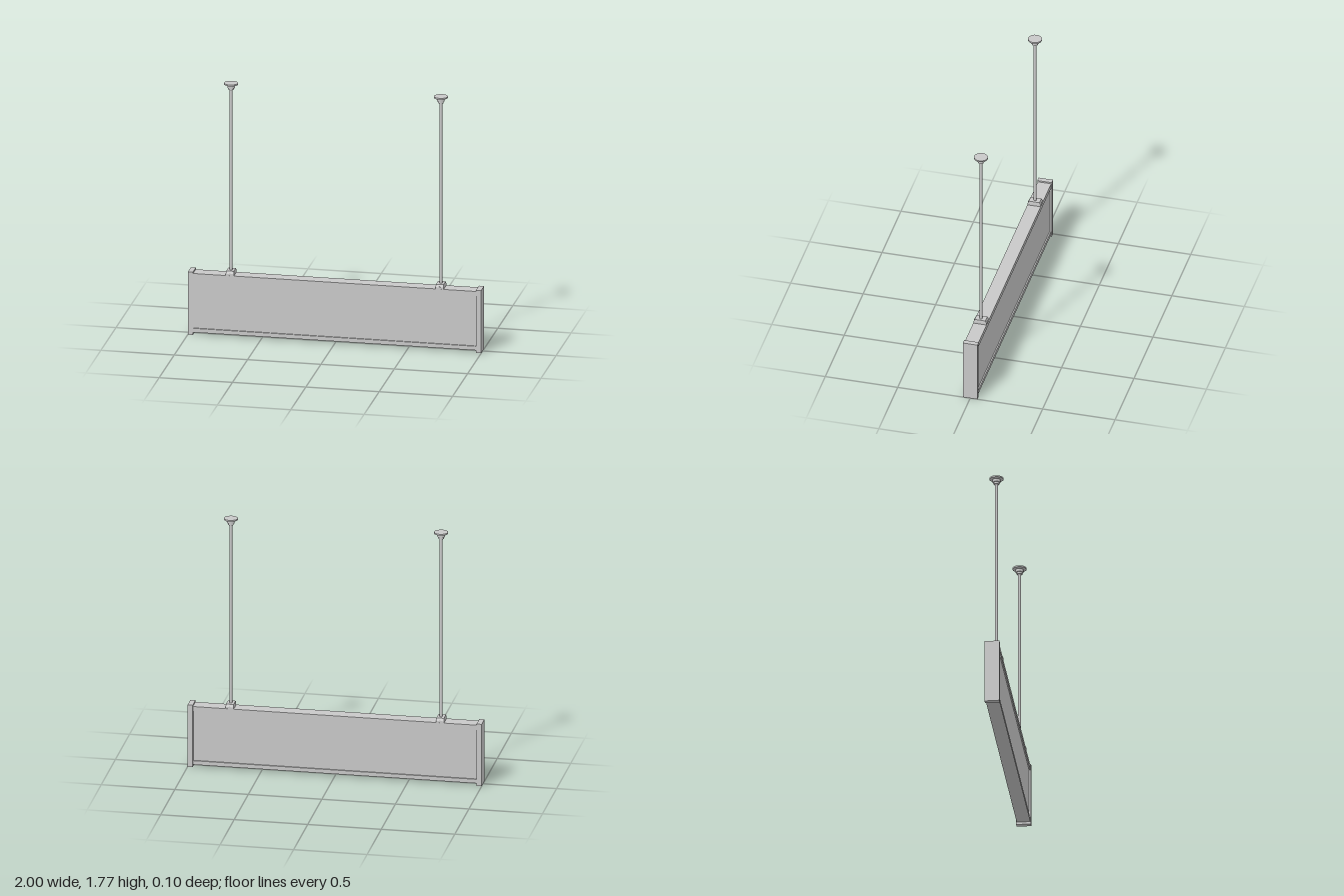
import * as THREE from 'three';

export function createModel() {
  const model = new THREE.Group();
  model.name = 'hangingSign';
  const grey = new THREE.MeshStandardMaterial({ color: 0xc8c8c8 });
  grey.name = 'light grey';
  const flatten = (g) => {
    const flat = g.index ? g.toNonIndexed() : g;
    flat.computeVertexNormals();
    return flat;
  };
  const add = (parent, name, geometry, x, y, z = 0) => {
    const mesh = new THREE.Mesh(geometry, grey);
    mesh.name = name;
    mesh.position.set(x, y, z);
    parent.add(mesh);
    return mesh;
  };
  const rect = (path, x, y0, y1) =>
    path.moveTo(-x, y0).lineTo(x, y0).lineTo(x, y1).lineTo(-x, y1).closePath();

  // Housing frame, open front and back
  const outline = rect(new THREE.Shape(), 0.975, 0.017, 0.43);
  outline.holes.push(rect(new THREE.Path(), 0.963, 0.045, 0.397));
  const frame = new THREE.ExtrudeGeometry(outline, { depth: 0.092, bevelEnabled: false });
  add(model, 'housingFrame', frame, 0, 0, -0.046);

  // Display panel, slightly recessed on both sides
  add(model, 'displayPanel', new THREE.BoxGeometry(1.93, 0.356, 0.074), 0, 0.221);

  // Mounting block: straight lower half, chamfered top
  const blockGeometry = new THREE.BoxGeometry(0.056, 0.036, 0.09, 1, 2, 1);
  const p = blockGeometry.attributes.position;
  for (let i = 0; i < p.count; i++) {
    if (p.getY(i) > 0.01) {
      p.setX(i, p.getX(i) * 0.92);
      p.setZ(i, p.getZ(i) * 0.82);
    }
  }
  const block = flatten(blockGeometry);

  // Ceiling fitting: stepped collar below a thin disc
  const fitting = new THREE.LatheGeometry([
    [0, 1.724], [0.019, 1.724], [0.019, 1.737], [0.026, 1.737],
    [0.026, 1.757], [0.047, 1.76], [0.047, 1.77], [0, 1.77],
  ].map(([x, y]) => new THREE.Vector2(x, y)), 16);
  const fittingFlat = flatten(fitting);
  const rod = new THREE.CylinderGeometry(0.0105, 0.0105, 1.28, 12);

  for (const side of [1, -1]) {
    const label = side > 0 ? 'left' : 'right';
    // End cap
    add(model, label + 'EndCap', new THREE.BoxGeometry(0.035, 0.44, 0.1), side * 0.9825, 0.22);

    // Hanger
    const hanger = new THREE.Group();
    hanger.name = label + 'Hanger';
    hanger.position.x = side * 0.715;
    model.add(hanger);
    add(hanger, 'mountingBlock', block, 0, 0.442);
    add(hanger, 'rod', rod, 0, 1.09);
    add(hanger, 'ceilingFitting', fittingFlat, 0, 0);

    // Set screws on both faces of the block
    for (const z of [1, -1]) {
      const screw = add(hanger, 'setScrew', new THREE.CylinderGeometry(0.006, 0.006, 0.004, 10), 0, 0.441, z * 0.045);
      screw.rotation.x = Math.PI / 2;
    }
  }
  return model;
}
